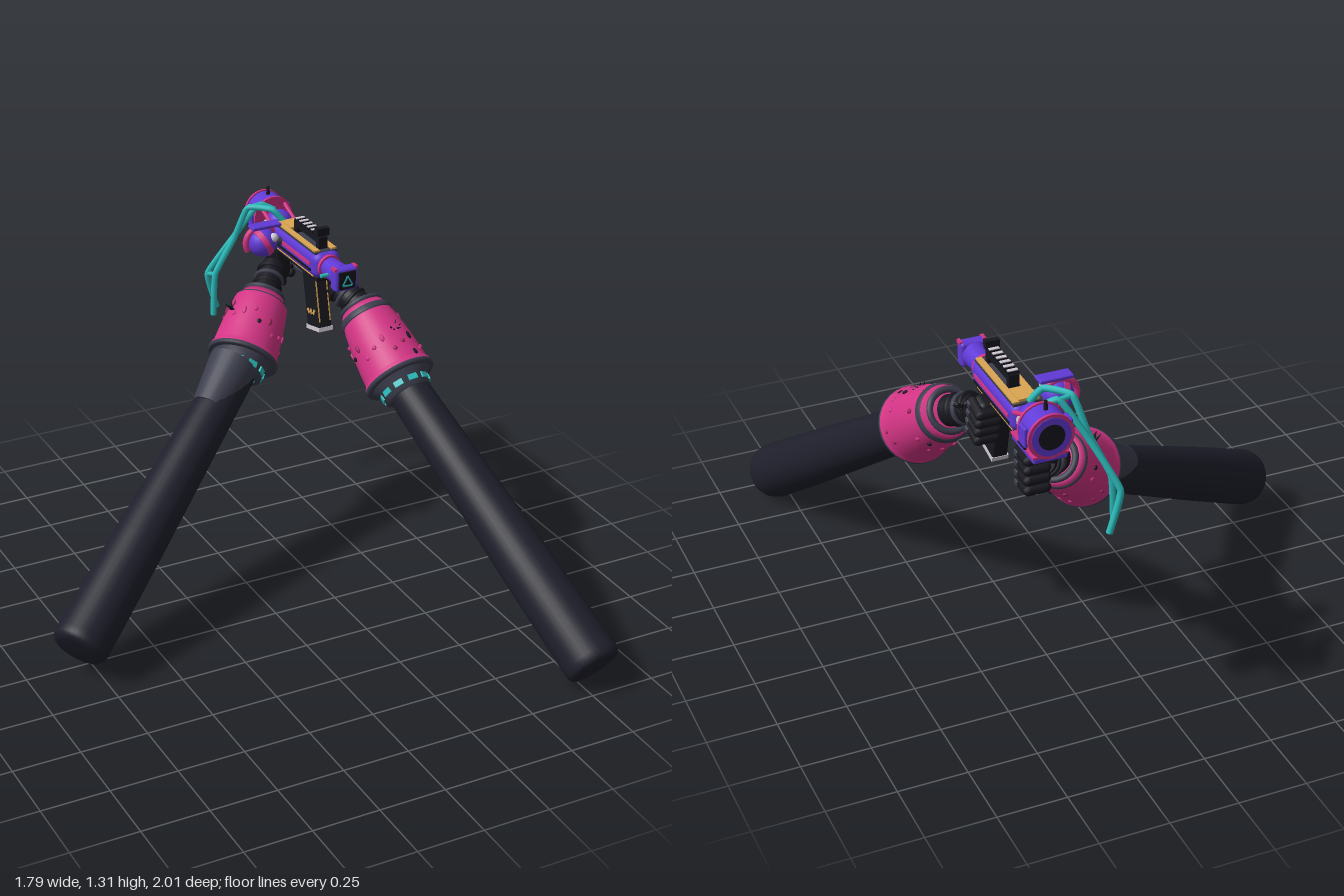
import * as THREE from 'three';
import { RoundedBoxGeometry } from 'three/addons/geometries/RoundedBoxGeometry.js';

const mat = (name, color) => {
  const m = new THREE.MeshStandardMaterial({ color });
  m.name = name;
  return m;
};
const M = {
  sleeve: mat('dark sleeve', 0x1e1f2b), pink: mat('hot pink', 0xd23484), rim: mat('deep pink', 0xa3265f),
  gray: mat('slate gray', 0x3b3d4c), teal: mat('teal', 0x2cbcbc), purple: mat('violet', 0x6039d6),
  gold: mat('gold', 0xdba552), black: mat('black', 0x17171f), white: mat('pale metal', 0xcfc8d4),
};
const V = (x, y, z) => new THREE.Vector3(x, y, z);
const UP = V(0, 1, 0);

function add(parent, name, geo, material, x = 0, y = 0, z = 0, rx = 0, ry = 0, rz = 0) {
  const m = new THREE.Mesh(geo, material);
  m.name = name;
  m.position.set(x, y, z);
  m.rotation.set(rx, ry, rz);
  parent.add(m);
  return m;
}
const box = (w, h, d) => new THREE.BoxGeometry(w, h, d);
const rbox = (w, h, d, r) => new RoundedBoxGeometry(w, h, d, 3, r);
const cyl = (a, b, h, n = 24) => new THREE.CylinderGeometry(a, b, h, n);
const lathe = (pts, n = 32) => new THREE.LatheGeometry(pts.map(p => new THREE.Vector2(p[0], p[1])), n);
const tube = (pts, r, n = 32) =>
  new THREE.TubeGeometry(new THREE.CatmullRomCurve3(pts.map(p => V(...p)), false, 'catmullrom', 0.2), n, r, 8);

// Group whose +y axis runs from a to b
function limb(parent, name, a, b) {
  const g = new THREE.Group();
  g.name = name;
  g.position.copy(a);
  g.quaternion.setFromUnitVectors(UP, b.clone().sub(a).normalize());
  parent.add(g);
  return [g, a.distanceTo(b)];
}

// Sleeve, bell-shaped cuff and wrist
function arm(root, name, elbow, cuffWide, cuffNarrow, palm, seed) {
  const g = new THREE.Group();
  g.name = name;
  root.add(g);
  const [s, L] = limb(g, name + 'Forearm', elbow, cuffWide);
  add(s, 'sleeve', lathe([[0, -0.012], [0.07, -0.01], [0.095, -0.004], [0.105, 0.01], [0.107, 0.035], [0.1, L * 0.35],
    [0.088, L * 0.7], [0.078, L]]), M.sleeve);
  const [c, H] = limb(g, name + 'Cuff', cuffWide, cuffNarrow);
  add(c, 'cuffCollar', lathe([[0.07, -0.075], [0.09, -0.07], [0.096, -0.03], [0.118, -0.012], [0.118, 0.01]]), M.gray);
  add(c, 'cuffFlange', lathe([[0, -0.01], [0.131, -0.01], [0.138, -0.004], [0.138, 0.006], [0.13, 0.01]]), M.gray);
  add(c, 'cuffBell', lathe([[0.137, 0.004], [0.135, 0.016], [0.127, 0.03], [0.123, 0.09], [0.115, 0.17], [0.104, 0.24],
    [0.092, H - 0.03], [0.082, H - 0.01], [0, H]]), M.pink);
  add(c, 'cuffBand', lathe([[0.1, H - 0.06], [0.104, H - 0.055], [0.1, H - 0.035], [0.094, H - 0.032]]), M.gray);
  add(c, 'cuffTopRing', new THREE.TorusGeometry(0.072, 0.012, 8, 28), M.gray, 0, H, 0, Math.PI / 2);
  // Teal lights round the collar
  for (let i = 0; i < 10; i++) {
    const a = (i / 10) * Math.PI * 2;
    add(c, 'collarLight', box(0.036, 0.022, 0.008), M.teal, Math.sin(a) * 0.094, -0.045, Math.cos(a) * 0.094, 0, a, 0);
  }
  // Studs along the hem, dents scattered over the bell
  for (let i = 0; i < 22; i++) {
    const a = i * 2.4 + seed, y = 0.035 + ((i * 7) % 11) / 11 * (H - 0.11);
    const r = 0.126 - 0.09 * y * (y / 0.3);
    const m = add(c, 'stud', new THREE.SphereGeometry(0.009, 8, 6), i % 7 ? (i % 2 ? M.rim : M.pink) : M.black,
      Math.sin(a) * r, y, Math.cos(a) * r, 0, a, 0);
    m.scale.set(1, i % 3 ? 1 : 1.8, 0.6);
  }
  // Wrist
  const [w, W] = limb(g, name + 'Wrist', cuffNarrow, palm);
  add(w, 'wrist', cyl(0.046, 0.055, W), M.black, 0, W / 2, 0);
  for (let i = 0; i < 3; i++)
    add(w, 'wristBand', new THREE.TorusGeometry(0.05, 0.009, 8, 24), i === 1 ? M.gray : M.black,
      0, W * (0.3 + i * 0.25), 0, Math.PI / 2);
  return g;
}

// Gloved fist: palm, four curled fingers on the +x side, thumb on the other
function fist(root, name, x, y, z, tilt) {
  const g = new THREE.Group();
  g.name = name;
  g.position.set(x, y, z);
  g.rotation.x = tilt;
  root.add(g);
  add(g, 'palm', rbox(0.085, 0.15, 0.08, 0.025), M.black);
  for (let i = 0; i < 4; i++) {
    const fy = 0.055 - i * 0.037;
    add(g, 'finger', new THREE.CapsuleGeometry(0.019, 0.07, 4, 10), M.black, 0.045, fy, -0.015, Math.PI / 2);
    add(g, 'knuckle', rbox(0.016, 0.022, 0.026, 0.006), M.gray, 0.058, fy, 0.012);
    add(g, 'fingertip', new THREE.CapsuleGeometry(0.018, 0.05, 4, 10), M.black, 0.01, fy, -0.05, 0, 0, Math.PI / 2);
  }
  add(g, 'thumb', new THREE.CapsuleGeometry(0.02, 0.06, 4, 10), M.black, -0.045, 0.05, -0.01, 1.2);
}

function spikes(root, x, y, z) {
  for (let i = 0; i < 7; i++) {
    const a = i * 2.4, d = V(Math.cos(a), 0.5 + (i % 3) * 0.4, Math.sin(a));
    const [s] = limb(root, 'spike', V(x, y, z), V(x, y, z).add(d));
    add(s, 'spikeCone', new THREE.ConeGeometry(0.01, 0.045, 6), M.black, 0, 0.018, 0);
  }
}

function blaster(root) {
  const g = new THREE.Group();
  g.name = 'blaster';
  g.position.x = 0.43;
  root.add(g);
  const R = Math.PI / 2;
  // Main body with side stripes and rails
  add(g, 'body', rbox(0.112, 0.105, 0.37, 0.035), M.purple, 0, 1.168, -0.595);
  add(g, 'lowerRail', rbox(0.085, 0.025, 0.34, 0.008), M.black, 0, 1.115, -0.6);
  for (const s of [-1, 1]) {
    add(g, 'sideStripe', box(0.008, 0.014, 0.29), M.pink, s * 0.056, 1.173, -0.6);
    add(g, 'sideGroove', box(0.008, 0.01, 0.3), M.black, s * 0.055, 1.15, -0.6);
    add(g, 'lowerGold', box(0.008, 0.005, 0.3), M.gold, s * 0.042, 1.122, -0.6);
    add(g, 'goldPanel', box(0.022, 0.01, 0.32), M.gold, s * 0.035, 1.222, -0.6);
  }
  // Slatted top
  add(g, 'topPlate', box(0.095, 0.008, 0.33), M.gray, 0, 1.217, -0.6);
  add(g, 'topCover', box(0.05, 0.009, 0.08), M.gold, 0, 1.226, -0.715);
  // Sight rail with pale slats
  add(g, 'sightRail', box(0.036, 0.025, 0.2), M.black, 0, 1.255, -0.56);
  for (const z of [-0.47, -0.65]) add(g, 'sightPost', box(0.036, 0.05, 0.022), M.black, 0, 1.24, z);
  for (let i = 0; i < 6; i++) {
    add(g, 'sightTooth', box(0.04, 0.012, 0.02), M.black, 0, 1.27, -0.49 - i * 0.031);
    add(g, 'slat', box(0.036, 0.003, 0.014), M.white, 0, 1.2775, -0.49 - i * 0.031);
  }
  add(g, 'sightTip', box(0.05, 0.03, 0.022), M.black, 0, 1.287, -0.47);
  // Muzzle
  add(g, 'muzzleNeck', cyl(0.043, 0.038, 0.1), M.purple, 0, 1.168, -0.365, R);
  add(g, 'muzzleRing', cyl(0.046, 0.046, 0.014), M.pink, 0, 1.168, -0.41, R);
  add(g, 'muzzleBand', cyl(0.04, 0.04, 0.01), M.black, 0, 1.168, -0.32, R);
  add(g, 'muzzle', rbox(0.094, 0.09, 0.045, 0.012), M.purple, 0, 1.168, -0.294);
  add(g, 'muzzleFace', box(0.068, 0.068, 0.008), M.black, 0, 1.168, -0.27);
  for (const s of [-1, 1]) {
    add(g, 'muzzleCorner', box(0.012, 0.012, 0.03), M.pink, s * 0.042, 1.21, -0.29);
    add(g, 'faceTrim', box(0.036, 0.005, 0.004), M.teal, 0, 1.168 - 0.02, -0.265 + s * 0.0005);
    add(g, 'faceTrim', box(0.005, 0.042, 0.004), M.teal, s * 0.01, 1.168, -0.265, 0, 0, s * 0.5);
  }
  add(g, 'muzzleKnob', cyl(0.008, 0.008, 0.03, 10), M.teal, -0.055, 1.168, -0.345, 0, 0, R);
  // Rear joint, round drum and base plate
  add(g, 'rearJoint', new THREE.SphereGeometry(0.05, 20, 14), M.purple, 0, 1.195, -0.82);
  add(g, 'jointBand', cyl(0.052, 0.052, 0.022, 24), M.pink, 0, 1.195, -0.82, 0.5);
  for (const s of [-1, 1]) {
    add(g, 'jointBrace', rbox(0.014, 0.014, 0.12, 0.005), M.pink, s * 0.05, 1.225, -0.83, 0.4);
    add(g, 'jointCap', cyl(0.022, 0.022, 0.012, 16), M.white, s * 0.048, 1.19, -0.825, 0, 0, R);
    add(g, 'drumPad', rbox(0.014, 0.07, 0.05, 0.005), M.purple, s * 0.077, 1.2, -0.915);
    add(g, 'drumPadEdge', box(0.008, 0.006, 0.054), M.black, s * 0.081, 1.165, -0.915);
  }
  add(g, 'drum', cyl(0.076, 0.076, 0.07, 32), M.purple, 0, 1.2, -0.915, R);
  for (const z of [-0.874, -0.956]) add(g, 'drumRim', cyl(0.08, 0.08, 0.009, 32), M.pink, 0, 1.2, z, R);
  add(g, 'drumFace', cyl(0.068, 0.068, 0.006, 32), M.purple, 0, 1.2, -0.96, R);
  add(g, 'drumHollow', cyl(0.045, 0.045, 0.006, 32), M.black, 0, 1.2, -0.962, R);
  add(g, 'drumPin', cyl(0.006, 0.008, 0.035, 8), M.black, 0, 1.29, -0.915);
  add(g, 'basePlate', rbox(0.12, 0.024, 0.18, 0.008), M.purple, 0, 1.118, -0.865);
  add(g, 'baseTrim', box(0.124, 0.007, 0.184), M.pink, 0, 1.13, -0.865);
  // Grip, trigger guard and magazine
  add(g, 'grip', rbox(0.05, 0.2, 0.07, 0.015), M.black, 0, 1.03, -0.83);
  add(g, 'gripPommel', new THREE.SphereGeometry(0.024, 16, 12), M.white, 0, 0.938, -0.83);
  add(g, 'pommelRing', cyl(0.03, 0.03, 0.012), M.pink, 0, 0.948, -0.83);
  add(g, 'triggerGuard', tube([[0, 1.11, -0.55], [0, 1.075, -0.58], [0, 1.065, -0.66], [0, 1.08, -0.7],
    [0, 1.12, -0.71]], 0.01), M.gray);
  const mag = new THREE.Group();
  mag.name = 'magazine';
  mag.position.set(0, 1.0, -0.505);
  mag.rotation.x = -0.22;
  g.add(mag);
  add(mag, 'magazineBody', rbox(0.055, 0.22, 0.1, 0.008), M.black);
  add(mag, 'magazineFoot', box(0.06, 0.016, 0.104), M.white, 0, -0.11, 0);
  for (const s of [-1, 1]) {
    for (const i of [-1, 0, 1])
      add(mag, 'magazineMark', box(0.006, 0.02, 0.01), M.gold, s * 0.028, -0.045, i * 0.022, i * 0.6);
    add(mag, 'magazineStripe', box(0.004, 0.16, 0.005), M.gold, s * 0.022, 0, 0.05);
  }
  // Round canister beside the body
  const can = new THREE.Group();
  can.name = 'sideCanister';
  can.position.set(-0.135, 1.185, -0.695);
  g.add(can);
  add(can, 'canister', new THREE.SphereGeometry(0.056, 24, 16), M.purple);
  add(can, 'canisterRing', new THREE.TorusGeometry(0.06, 0.012, 10, 28, Math.PI), M.pink, -0.005, 0, -0.01, 0, 0, 0.5);
  add(can, 'canisterBand', cyl(0.058, 0.058, 0.022, 28), M.pink, 0, 0, 0, 0, 0, R + 0.5);
  add(can, 'canisterCap', new THREE.SphereGeometry(0.018, 14, 10), M.white, 0.03, 0.025, 0.035);
  add(can, 'canisterTop', rbox(0.12, 0.014, 0.05, 0.005), M.purple, 0.01, 0.066, 0);
  add(can, 'canisterArm', cyl(0.016, 0.016, 0.09, 12), M.gray, 0.08, -0.01, 0, 0, 0, R);
}

export function createModel() {
  const root = new THREE.Group();
  root.name = 'armsWithBlaster';
  const left = arm(root, 'leftArm', V(0.79, 0.083, 0.945), V(0.567, 0.81, -0.1), V(0.54, 1.0, -0.36), V(0.49, 1.06, -0.47), 0.4);
  const right = arm(root, 'rightArm', V(-0.83, 0.138, 0.09), V(0.14, 0.79, -0.555), V(0.31, 0.955, -0.71), V(0.4, 1.02, -0.81), 1.7);
  // Pointed flap above the right cuff hem
  const [flap, F] = limb(right, 'cuffFlap', V(-0.06, 0.682, -0.43), V(0.09, 0.79, -0.53));
  add(flap, 'flapCone', cyl(0.096, 0.07, F, 24), M.gray, 0, F / 2, 0);
  spikes(right, 0.15, 0.95, -0.66);
  spikes(left, 0.57, 0.98, -0.17);
  spikes(left, 0.54, 1.07, -0.47);
  fist(root, 'leftFist', 0.475, 1.055, -0.525, -0.22);
  fist(root, 'rightFist', 0.435, 1.03, -0.84, 0);
  blaster(root);
  // Hanging cables with cross links
  const a = [[0.42, 1.22, -0.76], [0.38, 1.27, -0.78], [0.31, 1.265, -0.85], [0.27, 1.13, -0.89], [0.205, 0.98, -0.925], [0.195, 0.81, -0.925]];
  const b = [[0.42, 1.24, -0.84], [0.36, 1.265, -0.86], [0.28, 1.13, -0.91], [0.2, 0.96, -0.985], [0.24, 0.81, -0.99]];
  const cables = new THREE.Group();
  cables.name = 'cables';
  root.add(cables);
  add(cables, 'cable', tube(a, 0.012, 48), M.teal);
  add(cables, 'cable', tube(b, 0.012, 48), M.teal);
  for (const [i, j] of [[2, 1], [3, 2], [4, 3]]) add(cables, 'cableLink', tube([a[i], b[j]], 0.009, 4), M.teal);
  return root;
}
